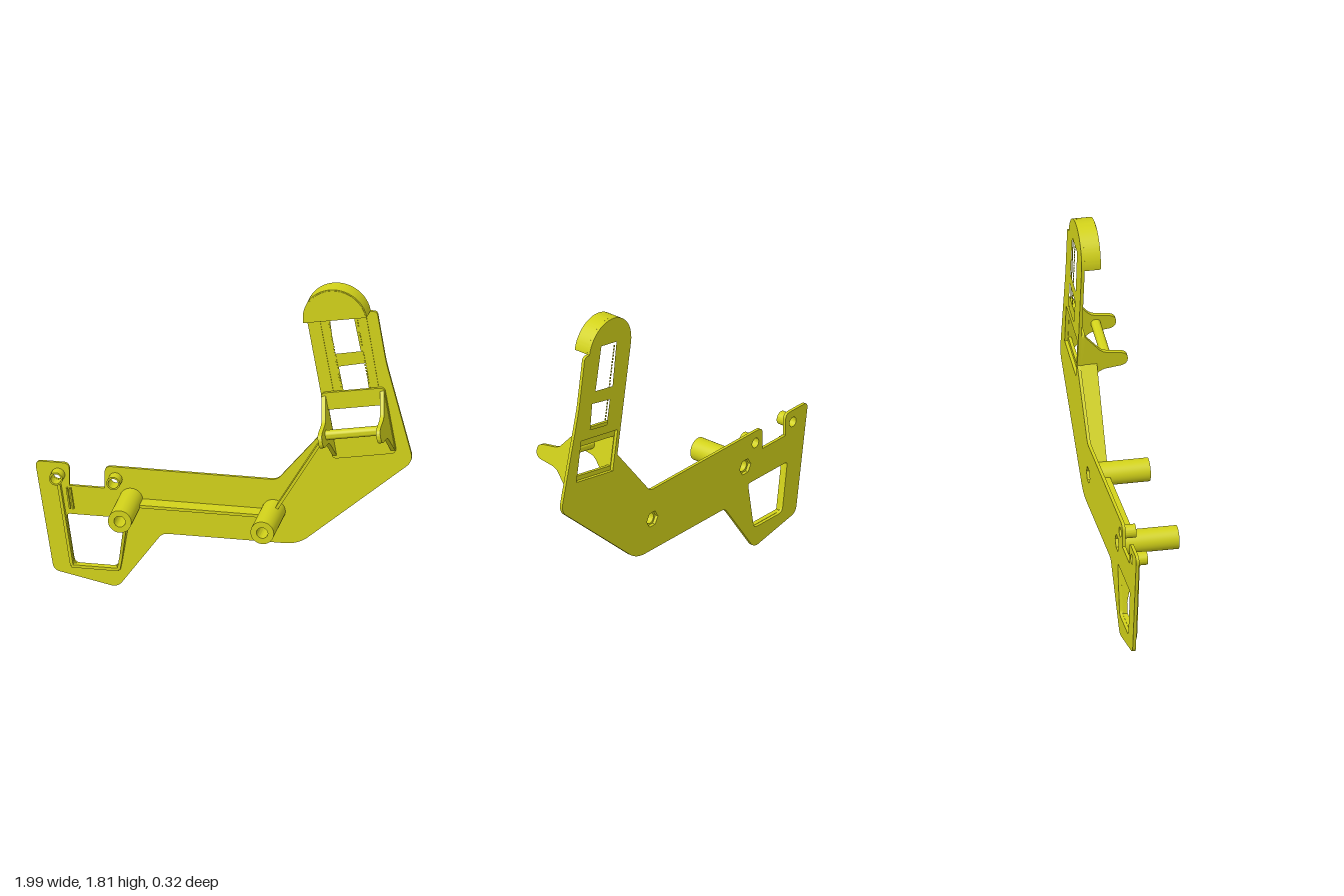
import * as THREE from 'three';
import { toCreasedNormals } from 'three/addons/utils/BufferGeometryUtils.js';

const BACK = -0.16, FRONT = -0.143, RIB_TOP = -0.055;
const TILT = THREE.MathUtils.degToRad(10);
const CAP = [0.607, 1.644], CAP_R = 0.171;
const BUCKLE = [0.717, 1.043];
const TUBES = [[-0.49, 0.505], [0.265, 0.505]];
const POSTS = [[-0.877, 0.612], [-0.573, 0.612]];

// Closed outline from [x, y, cornerRadius] points
function outline(points, Type = THREE.Shape) {
  const path = new Type();
  const n = points.length;
  points.forEach(([x, y, r = 0], i) => {
    const p = new THREE.Vector2(x, y);
    const toward = (q) => {
      const d = new THREE.Vector2(q[0], q[1]).sub(p);
      return d.setLength(Math.min(r, d.length() / 2)).add(p);
    };
    const a = r ? toward(points[(i + n - 1) % n]) : p;
    if (i === 0) path.moveTo(a.x, a.y); else path.lineTo(a.x, a.y);
    if (r) {
      const b = toward(points[(i + 1) % n]);
      path.quadraticCurveTo(x, y, b.x, b.y);
    }
  });
  path.closePath();
  return path;
}

function circleHole(x, y, r, sides) {
  const pts = [];
  for (let i = 0; i < sides; i++) {
    const a = (i / sides) * Math.PI * 2;
    pts.push([x + r * Math.cos(a), y + r * Math.sin(a)]);
  }
  return outline(pts, THREE.Path);
}

const rect = (x0, y0, x1, y1, r = 0) => [[x0, y0, r], [x1, y0, r], [x1, y1, r], [x0, y1, r]];

// Rotate a point by the arm's tilt and move it to a centre
function tilted([u, v, r], [cx, cy]) {
  const c = Math.cos(TILT), s = Math.sin(TILT);
  return [cx + u * c - v * s, cy + u * s + v * c, r];
}

function slab(shape, z0, z1) {
  const g = new THREE.ExtrudeGeometry(shape, { depth: z1 - z0, bevelEnabled: false, curveSegments: 10 });
  return g.translate(0, 0, z0);
}

export function createModel() {
  const model = new THREE.Group();
  model.name = 'bracket';
  const material = new THREE.MeshStandardMaterial({ color: 0xd2d21a });
  const add = (name, geometry, parent = model) => {
    const mesh = new THREE.Mesh(toCreasedNormals(geometry, 0.6), material);
    mesh.name = name;
    parent.add(mesh);
    return mesh;
  };

  // Flat back plate with the arm's rounded end
  const arc = [];
  for (let i = 0; i <= 24; i++) {
    const a = Math.PI * (1 - i / 24);
    arc.push(tilted([CAP_R * Math.cos(a), CAP_R * Math.sin(a)], CAP));
  }
  const plate = outline([
    [-1.0, 0.68, 0.035], [-0.818, 0.68, 0.035], [-0.818, 0.556], [-0.631, 0.556],
    [-0.631, 0.68, 0.035], [0.283, 0.68, 0.03], [0.549, 1.0],
    ...arc,
    [0.813, 1.674, 0.02], [0.861, 1.39, 0.05], [1.005, 0.845, 0.05],
    [0.395, 0.326, 0.07], [-0.325, 0.326, 0.03], [-0.56, 0.003, 0.04], [-0.9, 0.073, 0.035],
  ]);
  plate.holes.push(
    outline([[-0.832, 0.396, 0.02], [-0.79, 0.118, 0.03], [-0.56, 0.118, 0.03], [-0.512, 0.396, 0.02]], THREE.Path),
    outline([[0.556, 1.666], [0.679, 1.688], [0.727, 1.444], [0.588, 1.417]], THREE.Path),
    outline([[0.61, 1.348], [0.754, 1.38], [0.77, 1.235], [0.636, 1.209]], THREE.Path),
    outline(rect(-0.15, -0.1, 0.15, 0.13).map((p) => tilted(p, BUCKLE)), THREE.Path),
    ...TUBES.map(([x, y]) => circleHole(x, y, 0.045, 6)),
    ...POSTS.map(([x, y]) => circleHole(x, y, 0.027, 24)),
  );
  add('backPlate', slab(plate, BACK, FRONT));

  // Hollow standoffs and small pin sockets
  const sleeve = (name, [x, y], ro, ri, top) => {
    const h = top - FRONT;
    const profile = [[ri, 0], [ro, 0], [ro, h], [ri, h], [ri, 0]].map((p) => new THREE.Vector2(...p));
    add(name, new THREE.LatheGeometry(profile, 40).rotateX(Math.PI / 2).translate(x, y, FRONT));
  };
  TUBES.forEach((p) => sleeve('standoff', p, 0.062, 0.03, 0.16));
  POSTS.forEach((p) => sleeve('pinSocket', p, 0.036, 0.027, -0.08));

  // Upright ribs, whose height may slope from one end to the other
  const rib = (name, a, b, z0, z1, thick = 0.016) => {
    const dx = b[0] - a[0], dy = b[1] - a[1], len = Math.hypot(dx, dy);
    const side = outline([[0, 0], [len, 0], [len, z1 - FRONT], [0, z0 - FRONT]]);
    const g = slab(side, -thick / 2, thick / 2).rotateX(Math.PI / 2);
    add(name, g.rotateZ(Math.atan2(dy, dx)).translate(a[0], a[1], FRONT));
  };
  rib('crossRib', [-0.435, 0.505], [0.21, 0.505], RIB_TOP, RIB_TOP);
  rib('armRib', [0.296, 0.552], [0.56, 0.995], RIB_TOP, RIB_TOP);
  rib('gripLeftRib', [-0.872, 0.58], [-0.8, 0.115], -0.117, -0.117);
  rib('gripBottomRib', [-0.8, 0.112], [-0.552, 0.112], -0.117, -0.117);
  rib('gripRightRib', [-0.552, 0.112], [-0.54, 0.18], -0.117, -0.117);
  rib('gripRightRib', [-0.54, 0.18], [-0.498, 0.445], -0.117, RIB_TOP);
  for (const off of [-0.009, 0.009]) {
    rib('shortRib', [-0.82 + off, 0.545], [-0.803 + off, 0.43], -0.125, -0.125, 0.008);
  }

  // Guide lines beside the windows, the inner ones toothed
  const guides = [
    [[0.503, 1.626], [0.578, 1.209], false], [[0.551, 1.636], [0.626, 1.219], true],
    [[0.7, 1.658], [0.775, 1.235], true], [[0.749, 1.668], [0.818, 1.251], false],
  ];
  for (const [a, b, toothed] of guides) {
    const at = (t) => [a[0] + (b[0] - a[0]) * t, a[1] + (b[1] - a[1]) * t];
    const n = toothed ? 24 : 1;
    for (let i = 0; i < n; i++) {
      rib('guide', at(i / n), at((i + (toothed ? 0.6 : 1)) / n), FRONT + 0.004, FRONT + 0.004, 0.007);
    }
  }

  // Hollow half-round cap, open towards the arm
  const cap = new THREE.Group();
  cap.name = 'endCap';
  cap.position.set(CAP[0], CAP[1], 0);
  cap.rotation.z = TILT;
  model.add(cap);
  const wall = new THREE.Shape();
  wall.absarc(0, 0, CAP_R, 0, Math.PI, false);
  wall.absarc(0, 0, CAP_R - 0.016, Math.PI, 0, true);
  const lid = new THREE.Shape();
  lid.absarc(0, 0, CAP_R - 0.006, 0, Math.PI, false);
  const round = (shape, z0, z1) => new THREE.ExtrudeGeometry(shape,
    { depth: z1 - z0, bevelEnabled: false, curveSegments: 32 }).translate(0, 0, z0);
  add('capWall', round(wall, FRONT, -0.06), cap);
  add('capLid', round(lid, -0.073, -0.057), cap);

  // Strap buckle: framed plate, two cheeks and a crossbar
  const buckle = new THREE.Group();
  buckle.name = 'buckle';
  buckle.position.set(BUCKLE[0], BUCKLE[1], 0);
  buckle.rotation.z = TILT;
  model.add(buckle);
  const frame = outline(rect(-0.171, -0.185, 0.171, 0.185, 0.025));
  frame.holes.push(outline(rect(-0.146, -0.075, 0.146, 0.09), THREE.Path));
  add('buckleFrame', slab(frame, FRONT, -0.126), buckle);

  const cheek = outline([
    [-0.172, -0.13], [0.172, -0.13], [0.155, -0.115, 0.02], [0.056, -0.03, 0.03],
    [0.037, 0.108, 0.04], [-0.037, 0.108, 0.04], [-0.056, -0.03, 0.03], [-0.155, -0.115, 0.02],
  ]);
  const toCheek = new THREE.Matrix4().makeBasis(
    new THREE.Vector3(0, 1, 0), new THREE.Vector3(0, 0, 1), new THREE.Vector3(1, 0, 0));
  for (const side of [-1, 1]) {
    const g = slab(cheek, -0.011, 0.011).applyMatrix4(toCheek);
    add('buckleCheek', g.translate(side * 0.157, 0, 0), buckle);
  }
  add('buckleBar', new THREE.CylinderGeometry(0.026, 0.026, 0.31, 24).rotateZ(Math.PI / 2), buckle);

  return model;
}
